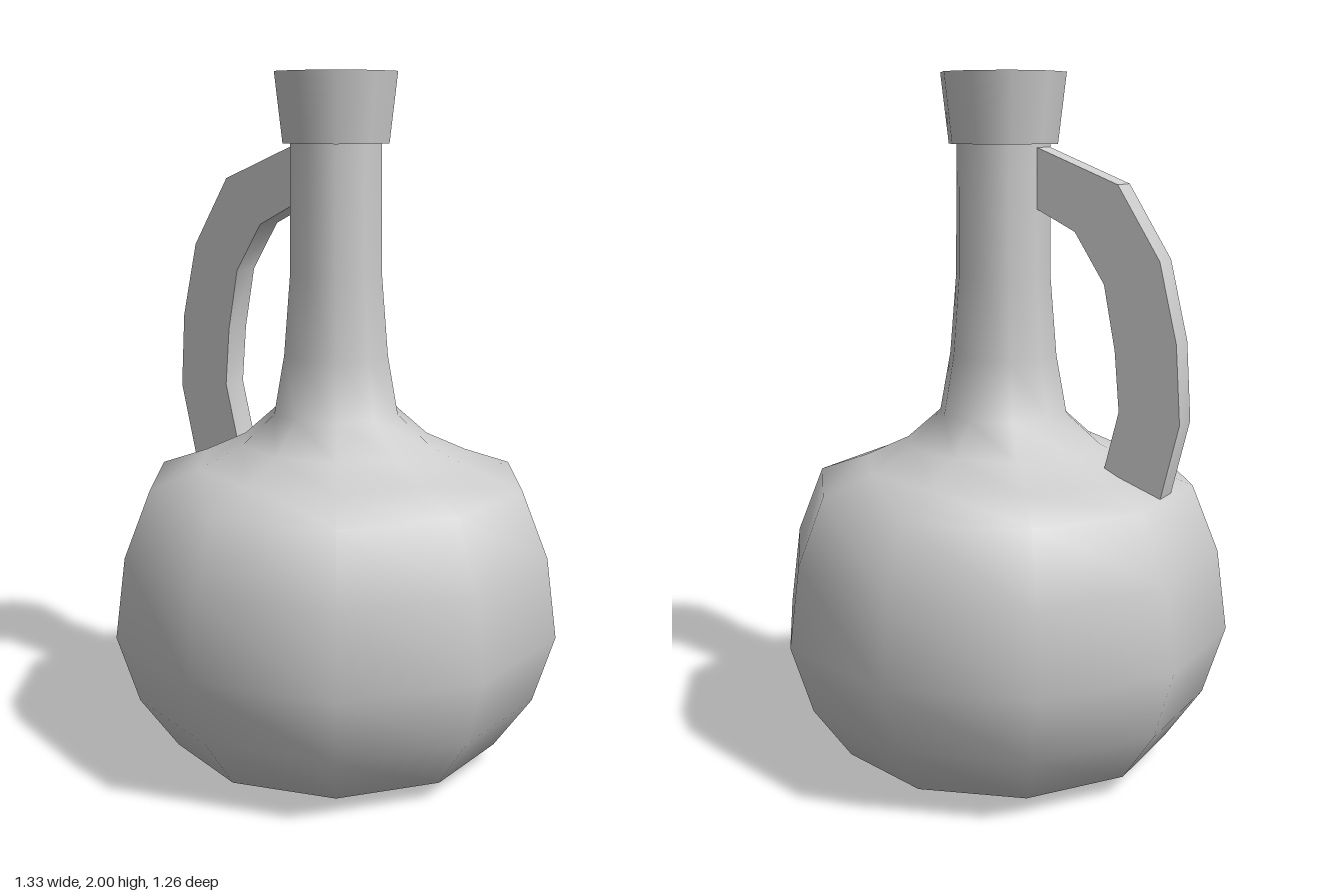
import * as THREE from 'three';
import { toCreasedNormals } from 'three/addons/utils/BufferGeometryUtils.js';

const SIDES = 10;

export function createModel() {
  const model = new THREE.Group();
  const material = new THREE.MeshStandardMaterial({ color: 0xcccccc });

  function add(name, geometry) {
    const mesh = new THREE.Mesh(geometry, material);
    mesh.name = name;
    model.add(mesh);
    return mesh;
  }
  const points = (list) => list.map(([x, y]) => new THREE.Vector2(x, y));

  // Round belly, shoulder and neck: one ten-sided turned profile
  const profile = points([
    [0, 0.005], [0.33, 0.018], [0.49, 0.06], [0.6, 0.215], [0.663, 0.415],
    [0.632, 0.65], [0.555, 0.842], [0.41, 0.894], [0.285, 0.953], [0.187, 1.04],
    [0.156, 1.21], [0.137, 1.44], [0.134, 1.81],
  ]);
  // Start at +x so that a corner lies on each side
  add('bottle', new THREE.LatheGeometry(profile, SIDES, Math.PI / 2, Math.PI * 2));

  // Flared stopper on the neck
  const stopper = new THREE.CylinderGeometry(0.179, 0.156, 0.195, SIDES, 1, false, Math.PI / 2);
  add('stopper', stopper).position.y = 1.9025;

  // Curved handle: outer edge downwards, then inner edge upwards
  const outline = new THREE.Shape(points([
    [0.1, 1.787], [0.125, 1.797], [0.371, 1.7], [0.497, 1.5], [0.55, 1.28], [0.565, 1.06],
    [0.505, 0.81], [0.33, 0.86],
    [0.385, 1.08], [0.37, 1.25], [0.335, 1.43], [0.245, 1.57], [0.125, 1.63], [0.1, 1.64],
  ]));
  const handleGeometry = new THREE.ExtrudeGeometry(outline, { depth: 0.08, bevelEnabled: false });
  handleGeometry.translate(0, 0, -0.04);
  const handle = add('handle', toCreasedNormals(handleGeometry, 0.6));
  // Points to the middle of a facet, right and slightly back
  handle.rotation.y = Math.PI - Math.PI / SIDES;

  return model;
}
